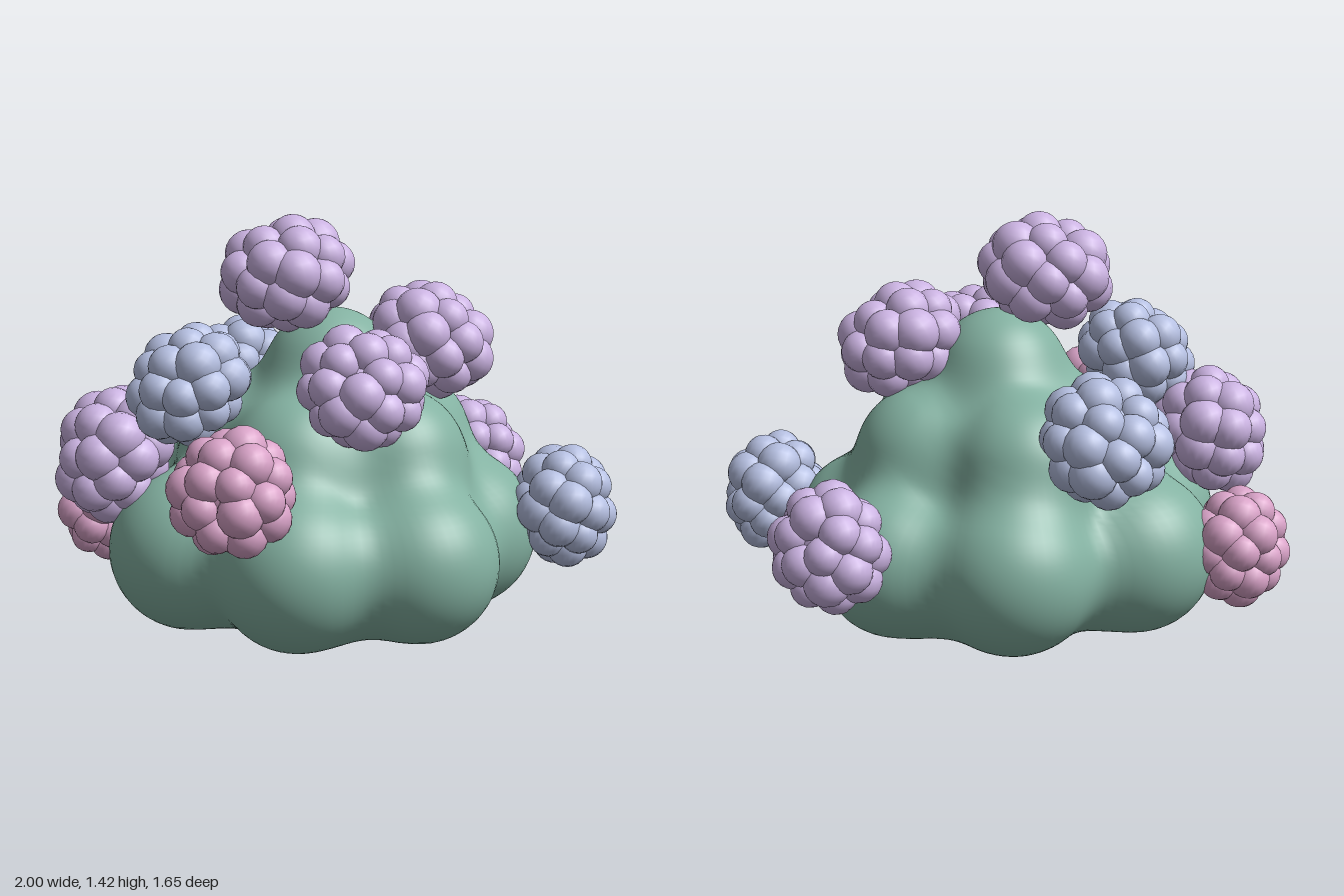
import * as THREE from 'three';
import { mergeVertices, mergeGeometries } from 'three/addons/utils/BufferGeometryUtils.js';

const material = (name, color) => {
  const m = new THREE.MeshStandardMaterial({ color });
  m.name = name;
  return m;
};

// Foliage lobes: x, y, z, radius
const LOBES = [
  [0, 0.36, 0, 0.355],
  // bottom ring
  [-0.08, 0.3, -0.45, 0.28], [0.32, 0.3, -0.37, 0.26], [0.445, 0.3, -0.03, 0.28],
  [0.31, 0.3, 0.39, 0.27], [-0.09, 0.3, 0.475, 0.28], [-0.47, 0.3, 0.25, 0.28],
  [-0.475, 0.3, -0.2, 0.28],
  // middle ring
  [-0.1, 0.61, -0.28, 0.25], [0.24, 0.6, -0.14, 0.25], [0.22, 0.6, 0.18, 0.25],
  [-0.1, 0.6, 0.25, 0.25], [-0.28, 0.6, -0.02, 0.25],
  // crown
  [0, 0.86, 0, 0.235],
];

// Smooth union of the lobes and a rounded base disc
function foliageDistance(p) {
  const k = 0.125;
  const radial = Math.hypot(p.x, p.z);
  let d = Math.hypot(Math.max(radial - 0.36, 0), p.y - 0.19) - 0.14;
  for (const [x, y, z, r] of LOBES) {
    const s = Math.hypot(p.x - x, p.y - y, p.z - z) - r;
    const h = Math.max(k - Math.abs(d - s), 0) / k;
    d = Math.min(d, s) - h * h * k * 0.25;
  }
  return Math.max(d, 0.003 - p.y);
}

// Shrink-wrap a sphere onto the lobes
function foliageGeometry() {
  let g = new THREE.SphereGeometry(1, 128, 88);
  g.deleteAttribute('uv');
  g.deleteAttribute('normal');
  g = mergeVertices(g, 1e-5);
  const centre = new THREE.Vector3(0, 0.4, 0);
  const pos = g.attributes.position;
  const dir = new THREE.Vector3(), p = new THREE.Vector3();
  for (let i = 0; i < pos.count; i++) {
    dir.fromBufferAttribute(pos, i).normalize();
    let t = 1.3;
    for (let n = 0; n < 60; n++) {
      p.copy(centre).addScaledVector(dir, t);
      const d = foliageDistance(p);
      if (d < 0.0005) break;
      t -= d * 0.9;
    }
    pos.setXYZ(i, p.x, p.y, p.z);
  }
  g.computeVertexNormals();
  return g;
}

// Flattened ball of round florets, unit radius, axis along +y
function flowerHeadGeometry() {
  const count = 28, size = 0.335;
  const parts = [new THREE.SphereGeometry(0.7, 16, 12).scale(1, 0.8, 1)];
  for (let i = 0; i < count; i++) {
    const y = 1 - (2 * (i + 0.5)) / count;
    const ring = Math.sqrt(1 - y * y), a = i * 2.39996;
    const r = size * (1 + 0.08 * Math.sin(i * 5.3));
    parts.push(new THREE.SphereGeometry(r, 16, 12)
      .translate(Math.cos(a) * ring * 0.69, y * 0.53, Math.sin(a) * ring * 0.69));
  }
  return mergeGeometries(parts);
}

export function createModel() {
  const group = new THREE.Group();
  group.name = 'floweringBush';
  const green = material('leafGreen', 0x84b2a2);
  const lilac = material('lilac', 0xcbb3e2);
  const blue = material('paleBlue', 0xb5bfe1);
  const pink = material('dustyPink', 0xd9a3c8);

  const foliage = new THREE.Mesh(foliageGeometry(), green);
  foliage.name = 'foliage';
  group.add(foliage);

  // Flower heads: x, y, z, radius, colour
  const heads = [
    [-0.15, 1.22, 0.05, 0.235, lilac], [0.12, 0.9, 0.4, 0.22, lilac],
    [0.34, 0.985, -0.02, 0.23, lilac], [-0.465, 0.88, 0.28, 0.22, blue],
    [-0.735, 0.625, 0.21, 0.235, lilac], [-0.29, 0.6, 0.635, 0.215, pink],
    [-0.83, 0.33, -0.2, 0.205, pink], [0.815, 0.41, 0.04, 0.215, blue],
    [0.505, 0.43, -0.63, 0.215, lilac], [-0.38, 0.765, -0.465, 0.225, blue],
  ];
  const headGeometry = flowerHeadGeometry();
  const up = new THREE.Vector3(0, 1, 0);
  heads.forEach(([x, y, z, r, mat], i) => {
    const head = new THREE.Mesh(headGeometry, mat);
    head.name = `flowerHead${i + 1}`;
    head.position.set(x, y, z);
    head.scale.setScalar(r);
    // Face away from the heart of the bush, with a twist for variety
    const out = new THREE.Vector3(x, y - 0.35, z).normalize();
    head.quaternion.setFromUnitVectors(up, out);
    head.rotateY(i * 1.7);
    group.add(head);
  });
  return group;
}
